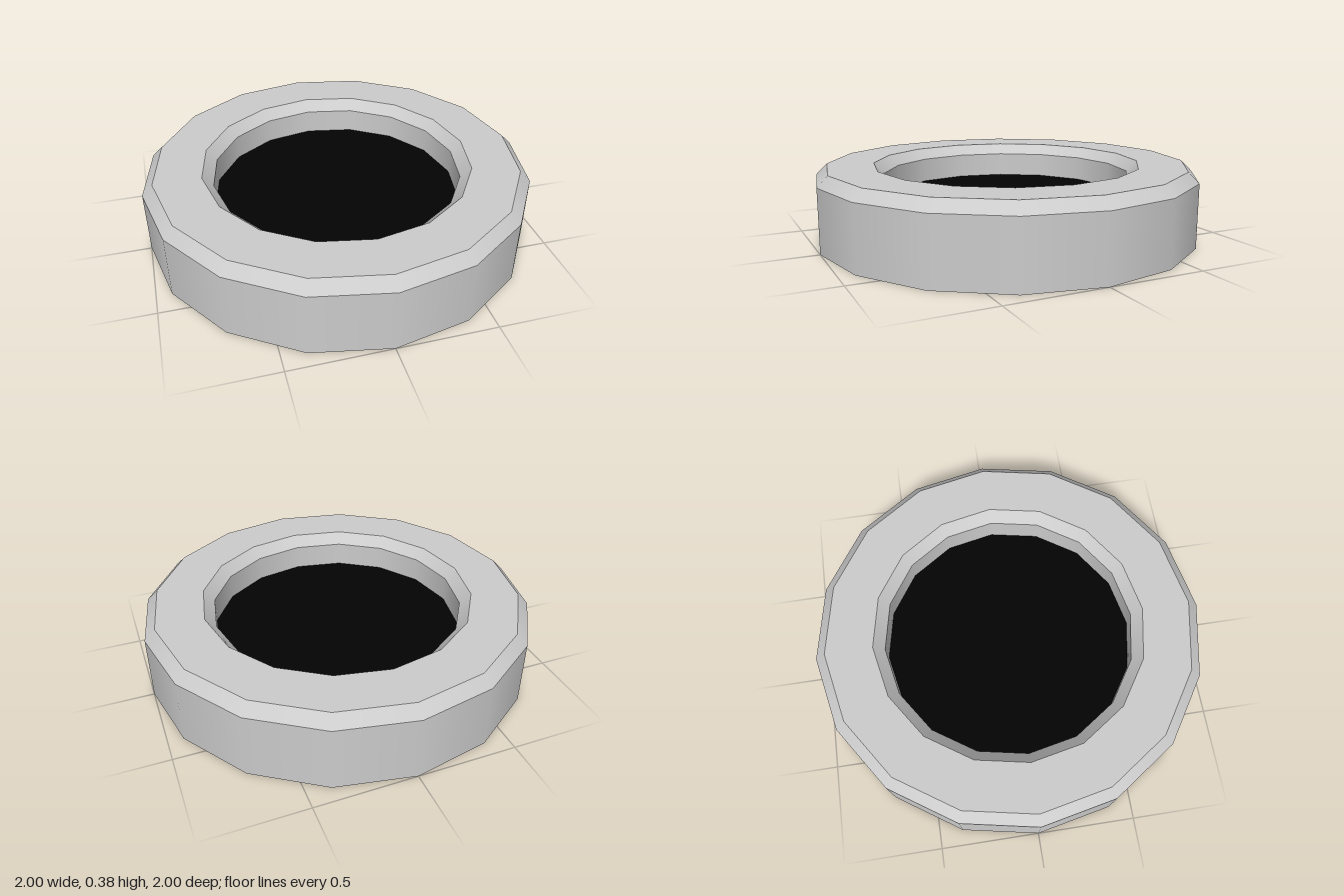
import * as THREE from 'three';
import { mergeGeometries } from 'three/addons/utils/BufferGeometryUtils.js';

const SIDES = 16;

// Each profile segment becomes its own band, so edges between bands stay sharp
// while shading is smooth around the axis.
function bandedLathe(profile) {
  const bands = [];
  for (let i = 0; i < profile.length - 1; i++) {
    const pair = [profile[i], profile[i + 1]].map(([r, y]) => new THREE.Vector2(r, y));
    bands.push(new THREE.LatheGeometry(pair, SIDES));
  }
  return mergeGeometries(bands);
}

export function createModel() {
  const group = new THREE.Group();
  group.name = 'recessedDisc';

  // Housing: closed base, outer wall, bevelled rim and recess wall
  const housing = new THREE.Mesh(
    bandedLathe([
      [0, 0], [1, 0], [1, 0.33], [0.945, 0.385],
      [0.7, 0.385], [0.645, 0.33], [0.645, 0.2],
    ]),
    new THREE.MeshStandardMaterial({ color: 0xcccccc })
  );
  housing.name = 'housing';
  group.add(housing);

  // Dark floor of the recess
  const floor = new THREE.Mesh(
    new THREE.CircleGeometry(0.645, SIDES).rotateX(-Math.PI / 2),
    new THREE.MeshStandardMaterial({ color: 0x030303 })
  );
  floor.name = 'recessFloor';
  floor.position.y = 0.2;
  group.add(floor);

  return group;
}
